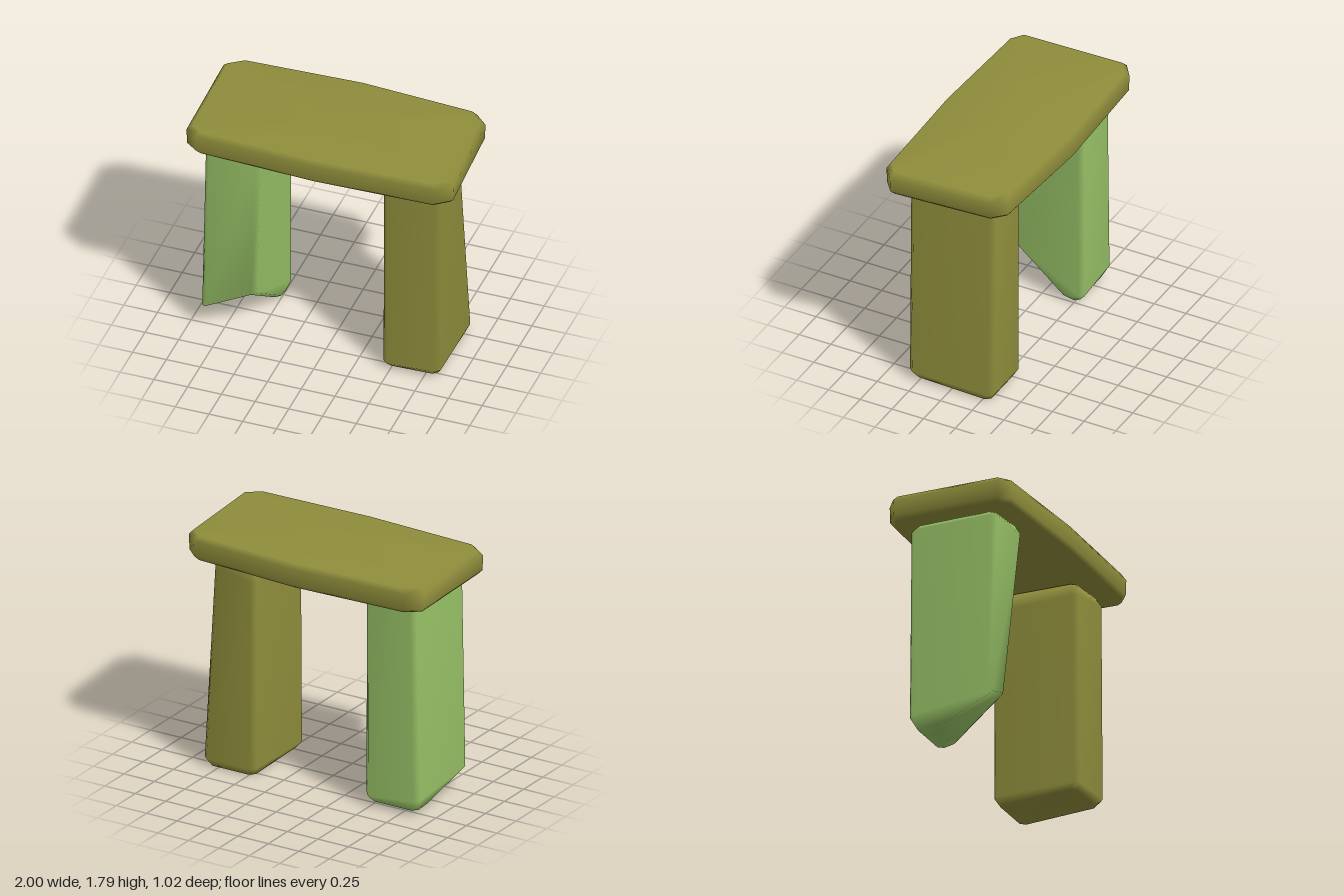
import * as THREE from 'three';

// Closed solid through stacked rings of [x, y, z] points (counterclockwise from above)
function loft(rings) {
  const n = rings[0].length;
  const points = rings.flat();
  const index = [];
  for (let r = 0; r < rings.length - 1; r++) {
    for (let k = 0; k < n; k++) {
      const a = r * n + k, b = r * n + (k + 1) % n;
      index.push(a, b, b + n, a, b + n, a + n);
    }
  }
  // End caps as fans around the ring centres
  const centre = ring => [0, 1, 2].map(i => ring.reduce((s, p) => s + p[i], 0) / n);
  const last = (rings.length - 1) * n, low = points.length, high = low + 1;
  const all = [...points, centre(rings[0]), centre(rings[rings.length - 1])];
  for (let k = 0; k < n; k++) {
    const j = (k + 1) % n;
    index.push(low, j, k, high, last + k, last + j);
  }
  const geo = new THREE.BufferGeometry();
  geo.setAttribute('position', new THREE.Float32BufferAttribute(all.flat(), 3));
  geo.setIndex(index);
  geo.computeVertexNormals();
  return geo;
}

// Cut each corner of a four-sided ring into two points
function chamfer(ring, size) {
  return ring.flatMap((p, i) => [ring[(i + 3) % 4], ring[(i + 1) % 4]].map(q => {
    const a = new THREE.Vector3(...p), b = new THREE.Vector3(...q);
    return a.lerp(b, size / a.distanceTo(b)).toArray();
  }));
}

const stone = rings => loft(rings.map(r => chamfer(r, 0.035)));

export function createModel() {
  const olive = new THREE.MeshStandardMaterial({ name: 'olive stone', color: 0x8f8d3b });
  const green = new THREE.MeshStandardMaterial({ name: 'green stone', color: 0x96c065 });
  const group = new THREE.Group();
  const add = (name, geometry, material) => {
    const mesh = new THREE.Mesh(geometry, material);
    mesh.name = name;
    group.add(mesh);
  };

  // Corner order: left front, left back, right back, right front
  add('leftUpright', stone([
    [[0.84, 0.02, 0.29], [0.84, 0.0, -0.3], [0.47, 0.0, -0.3], [0.47, 0.01, 0.29]],
    [[0.867, 0.07, 0.33], [0.867, 0.06, -0.335], [0.443, 0.06, -0.335], [0.443, 0.05, 0.33]],
    [[0.867, 1.56, 0.32], [0.79, 1.53, -0.31], [0.44, 1.47, -0.335], [0.445, 1.49, 0.32]],
    [[0.84, 1.605, 0.29], [0.76, 1.59, -0.28], [0.475, 1.6, -0.3], [0.48, 1.59, 0.29]],
  ]), olive);

  // This upright has a slanted underside rising to the front
  add('rightUpright', stone([
    [[-0.49, 0.05, -0.14], [-0.48, 0.03, -0.29], [-0.86, 0.03, -0.29], [-0.86, 0.04, -0.1]],
    [[-0.53, 0.33, 0.23], [-0.46, 0.08, -0.335], [-0.9, 0.12, -0.335], [-0.905, 0.18, 0.32]],
    [[-0.463, 1.55, 0.34], [-0.463, 1.55, -0.335], [-0.873, 1.55, -0.335], [-0.873, 1.55, 0.33]],
    [[-0.475, 1.605, 0.31], [-0.48, 1.605, -0.3], [-0.845, 1.59, -0.3], [-0.845, 1.59, 0.3]],
  ]), green);

  // Lying slab with cut corners and a slight bulge in the long sides
  const outline = [[1, 0.4], [0.955, -0.37], [0.86, -0.46], [0, -0.515], [-0.89, -0.48],
    [-1, -0.4], [-0.98, 0.4], [-0.89, 0.465], [0, 0.505], [0.9, 0.48]];
  const slabRing = (y, sx, sz) => outline.map(([x, z]) => [x * sx, y, z * sz]);
  add('topSlab', loft([
    slabRing(1.605, 0.965, 0.95),
    slabRing(1.635, 0.995, 0.995),
    slabRing(1.75, 1, 1),
    slabRing(1.787, 0.965, 0.955),
  ]), olive);

  return group;
}
